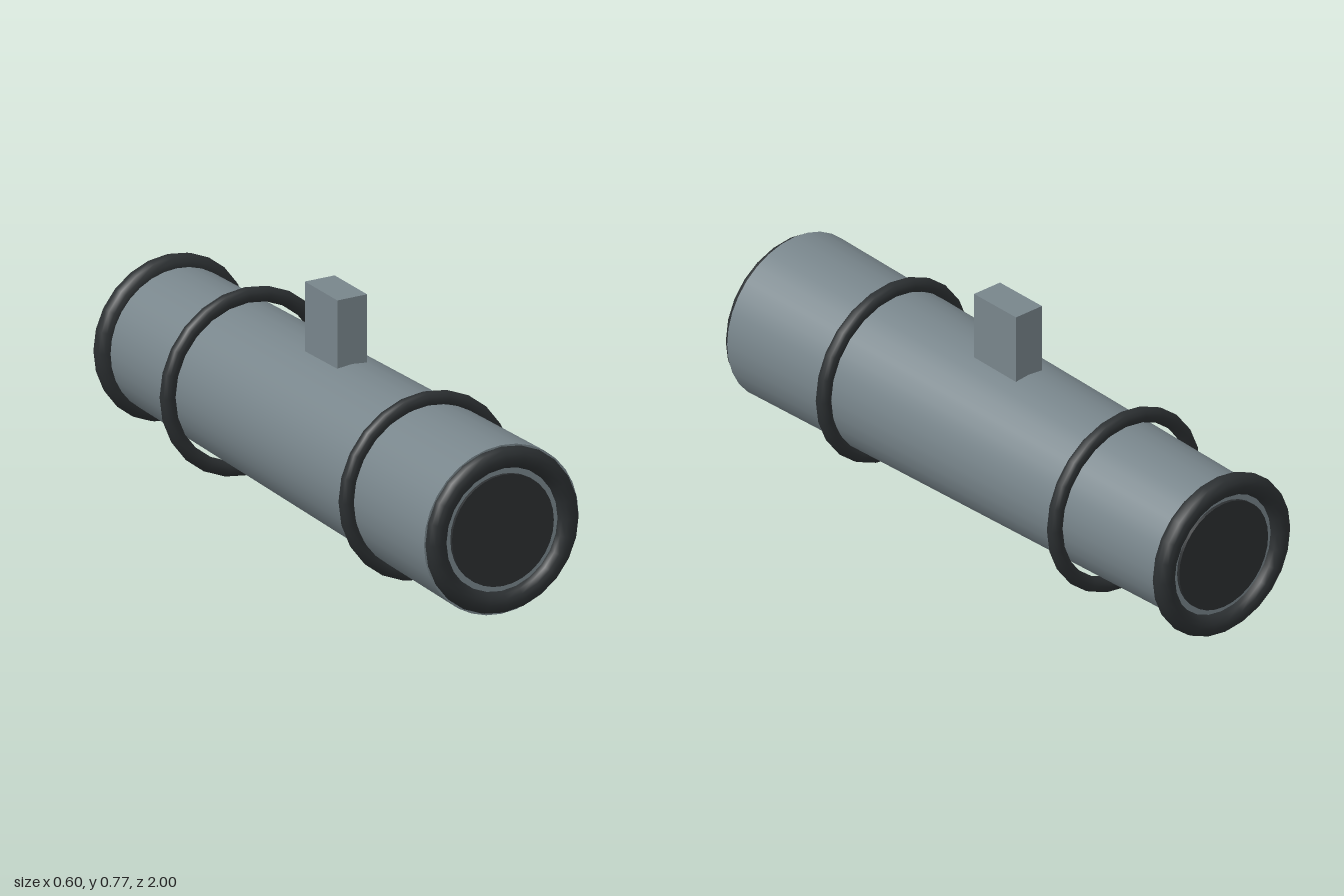
import * as THREE from 'three';

const AXIS_Y = 0.302;
const END_Z = 0.966;

export function createModel() {
  const group = new THREE.Group();
  const metal = new THREE.MeshStandardMaterial({ color: 0x78858b });
  const rubber = new THREE.MeshStandardMaterial({ color: 0x2b2f31 });
  const glass = new THREE.MeshStandardMaterial({ color: 0x2b2e30 });

  function add(name, geometry, material, y, z) {
    const mesh = new THREE.Mesh(geometry, material);
    mesh.name = name;
    mesh.position.set(0, y, z);
    group.add(mesh);
    return mesh;
  }

  // Tapered tube, wider at the front
  const body = new THREE.CylinderGeometry(0.27, 0.23, 2 * END_Z, 32);
  body.rotateX(Math.PI / 2);
  add('body', body, metal, AXIS_Y, 0);

  // Matching parts at the front and back
  for (const [side, s] of [['front', 1], ['back', -1]]) {
    add(side + 'Rim', new THREE.TorusGeometry(0.231, 0.034, 12, 24), rubber, AXIS_Y, s * END_Z);
    add(side + 'Band', new THREE.TorusGeometry(0.276, 0.024, 12, 24), rubber, AXIS_Y, s * 0.523);

    // Dark disc set in the end of the tube
    const disc = new THREE.CylinderGeometry(0.178, 0.178, 0.02, 32);
    disc.rotateX(Math.PI / 2);
    add(side + 'Lens', disc, glass, AXIS_Y, s * END_Z);
  }

  // Upright block on top, sunk into the tube
  add('topBlock', new THREE.BoxGeometry(0.104, 0.25, 0.19), metal, 0.642, 0);

  return group;
}
